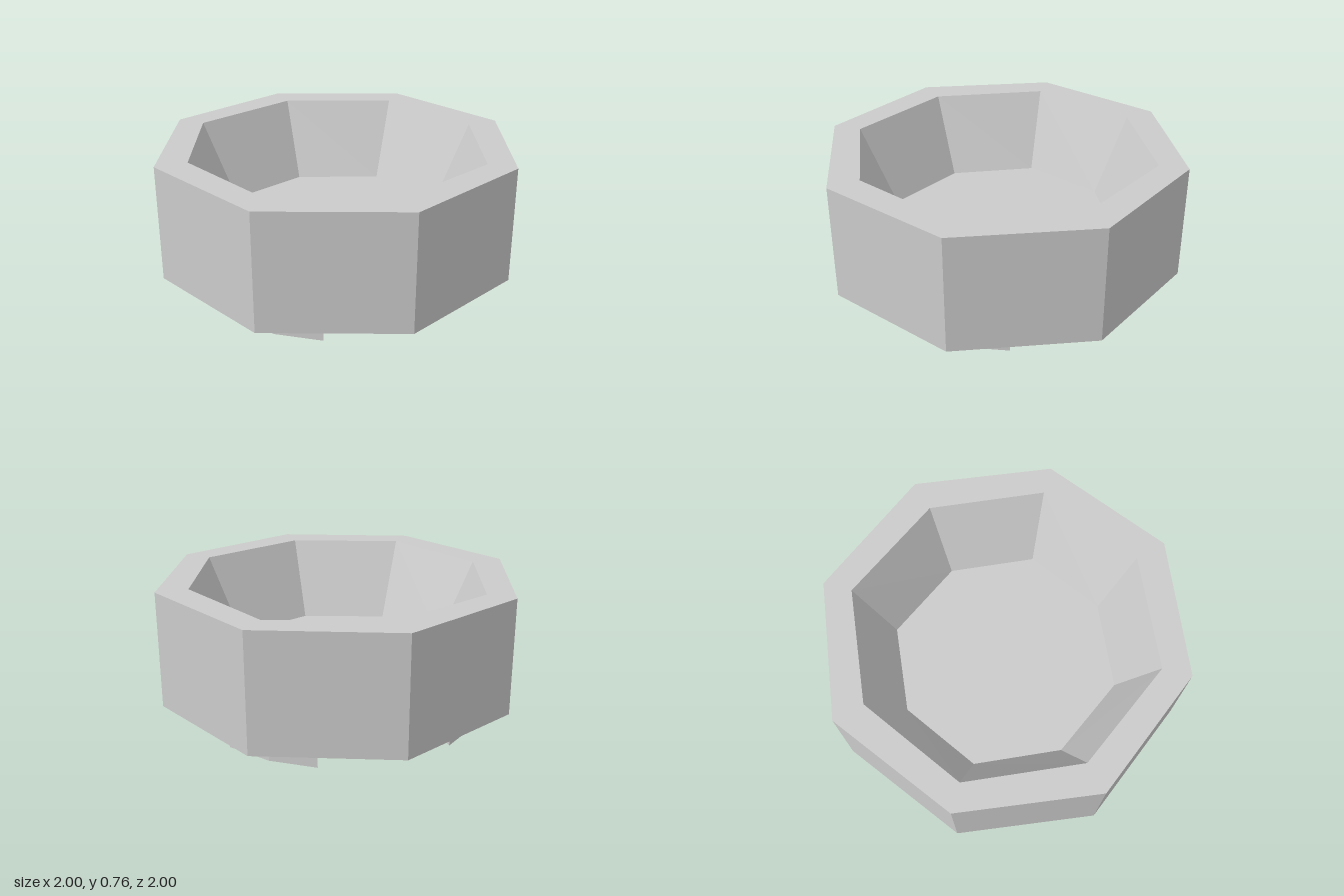
import * as THREE from 'three';

const SIDES = 8;
const BASE_Y = 0.12, RIM_Y = 0.76, FLOOR_Y = 0.32;

export function createModel() {
  const group = new THREE.Group();
  const material = new THREE.MeshStandardMaterial({ color: 0xcccccc, flatShading: true });

  // Octagonal bowl: underside, outer wall, rim, sloping inner wall, floor
  const profile = [
    [0, BASE_Y], [1, BASE_Y], [1, RIM_Y], [0.825, RIM_Y], [0.625, FLOOR_Y], [0, FLOOR_Y],
  ].map(([r, y]) => new THREE.Vector2(r, y));
  const bowlGeometry = new THREE.LatheGeometry(profile, SIDES);

  // The hollow reaches slightly further out at its diagonal corners
  const pos = bowlGeometry.attributes.position;
  for (let i = 0; i < pos.count; i++) {
    const x = pos.getX(i), z = pos.getZ(i), r = Math.hypot(x, z);
    if (r > 0.5 && r < 0.9 && Math.abs(x * z) > 0.01) {
      const k = (r + 0.017) / r;
      pos.setX(i, x * k);
      pos.setZ(i, z * k);
    }
  }
  const bowl = new THREE.Mesh(bowlGeometry, material);
  bowl.name = 'bowl';
  group.add(bowl);

  // Wedge-shaped feet under the diagonals, pointing inward
  const spread = 0.322, outer = 0.803;
  const footShape = new THREE.Shape([
    new THREE.Vector2(0.52, 0),
    new THREE.Vector2(outer * Math.cos(spread), -outer * Math.sin(spread)),
    new THREE.Vector2(outer, 0),
    new THREE.Vector2(outer * Math.cos(spread), outer * Math.sin(spread)),
  ]);
  const footGeometry = new THREE.ExtrudeGeometry(footShape, { depth: BASE_Y, bevelEnabled: false });
  footGeometry.rotateX(-Math.PI / 2);
  for (let i = 0; i < 4; i++) {
    const foot = new THREE.Mesh(footGeometry, material);
    foot.name = `foot${i + 1}`;
    foot.rotation.y = Math.PI / 4 + (i * Math.PI) / 2;
    group.add(foot);
  }
  return group;
}
